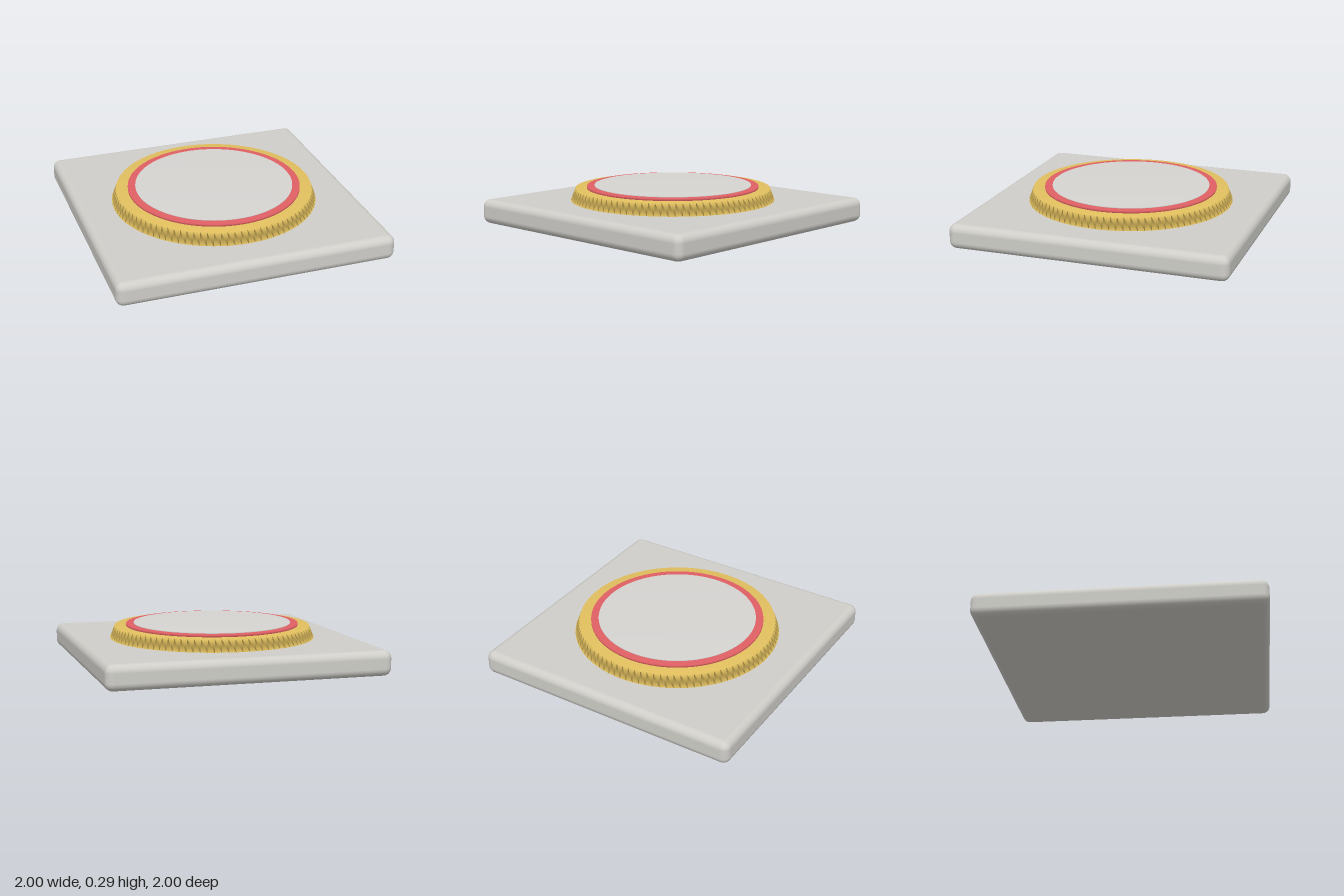
import * as THREE from 'three';
import { RoundedBoxGeometry } from 'three/addons/geometries/RoundedBoxGeometry.js';

const paint = (name, color) => {
  const m = new THREE.MeshStandardMaterial({ color });
  m.name = name;
  return m;
};

export function createModel() {
  const model = new THREE.Group();
  model.name = 'buttonPlate';

  const stone = paint('warm grey', 0xcfcec9);
  const gold = paint('gold', 0xe2c05f);
  const red = paint('coral red', 0xe06064);
  const silver = paint('light grey', 0xd6d4d1);

  const add = (name, geometry, material) => {
    const mesh = new THREE.Mesh(geometry, material);
    mesh.name = name;
    model.add(mesh);
    return mesh;
  };

  // Closed round plate; the lathe blends its normals for a soft domed look
  const disc = (bottomRadius, topRadius, y0, y1) =>
    new THREE.LatheGeometry([
      new THREE.Vector2(0, y0),
      new THREE.Vector2(bottomRadius, y0),
      new THREE.Vector2(topRadius, y1),
      new THREE.Vector2(0, y1),
    ], 96);

  // Square slab with rounded edges
  const slabHeight = 0.178;
  add('baseSlab', new RoundedBoxGeometry(2, slabHeight, 2, 4, 0.055), stone)
    .position.y = slabHeight / 2;

  // Stacked round plates: tapered collar, ring and central pad
  add('collar', disc(0.75, 0.715, 0.175, 0.265), gold);
  add('accentRing', disc(0.63, 0.63, 0.255, 0.281), red);
  add('centrePad', disc(0.575, 0.575, 0.27, 0.287), silver);

  return model;
}
